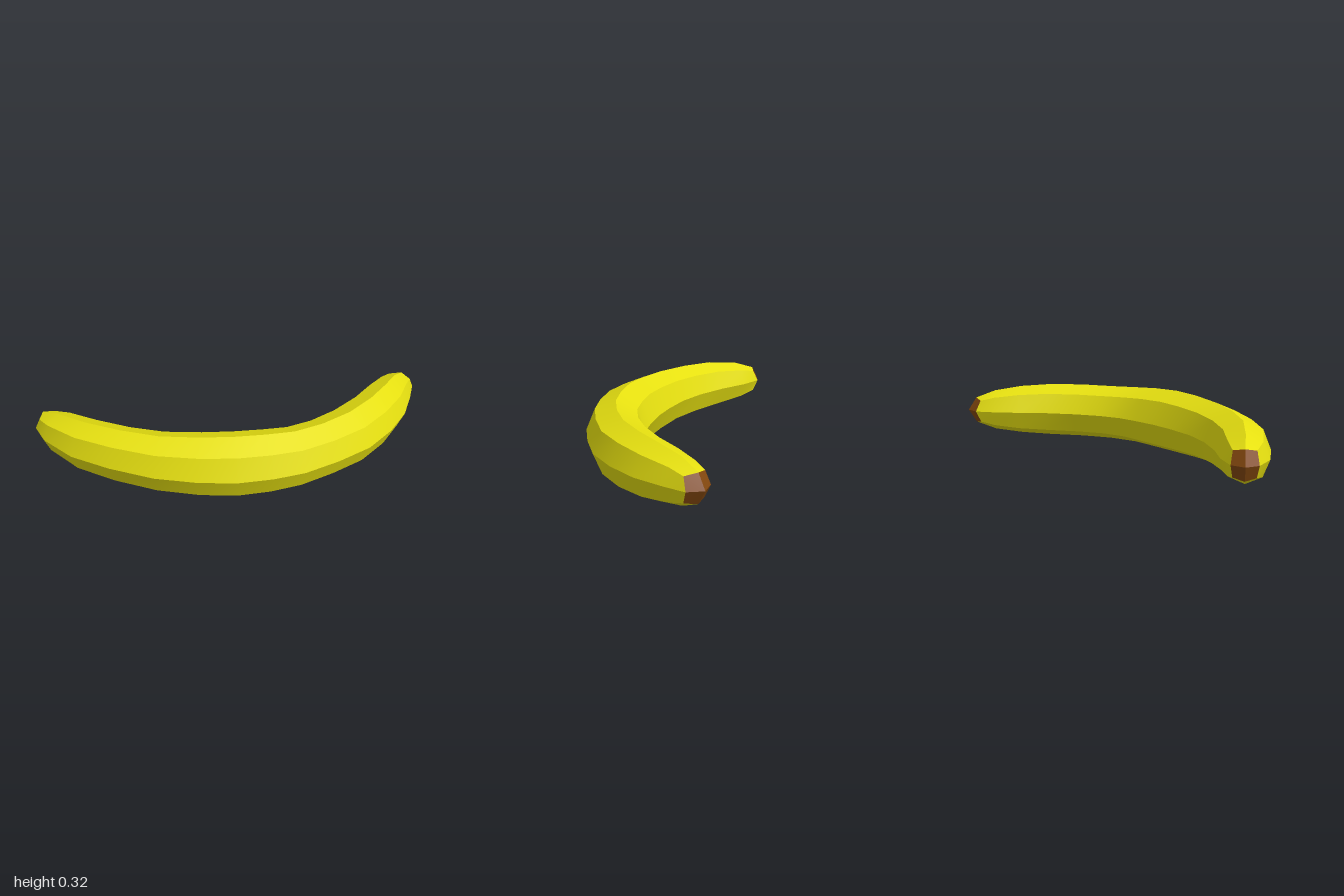
import * as THREE from 'three';

// One row per cross-section, right tip to left tip:
// outer edge x, z, inner edge x, z, vertical radius
const SECTIONS = [
  [-1.0, -0.29, -0.91, -0.365, 0.067],
  [-0.96, -0.17, -0.80, -0.30, 0.106],
  [-0.84, -0.01, -0.67, -0.19, 0.13],
  [-0.67, 0.12, -0.52, -0.09, 0.14],
  [-0.47, 0.24, -0.37, -0.02, 0.146],
  [-0.27, 0.315, -0.20, 0.025, 0.154],
  [-0.09, 0.355, -0.06, 0.05, 0.158],
  [0.08, 0.36, 0.08, 0.06, 0.154],
  [0.24, 0.345, 0.20, 0.06, 0.146],
  [0.42, 0.29, 0.32, 0.03, 0.141],
  [0.60, 0.215, 0.45, -0.03, 0.141],
  [0.75, 0.10, 0.59, -0.12, 0.139],
  [0.87, -0.03, 0.70, -0.22, 0.128],
  [0.95, -0.17, 0.80, -0.30, 0.106],
  [0.998, -0.27, 0.89, -0.355, 0.067],
];
const SIDES = 8;
const CENTER_Y = 0.159;
const LAST = SECTIONS.length - 1;

// Tips: outward direction and the centre point of each cap
const TIPS = {
  0: { dir: new THREE.Vector3(-0.67, 0, -0.74), apex: new THREE.Vector3(-0.98, CENTER_Y, -0.355) },
  [LAST]: { dir: new THREE.Vector3(0.67, 0, -0.74), apex: new THREE.Vector3(0.972, CENTER_Y, -0.345) },
};

// Eight points round a section; at the tips the corners are wider and set back
function makeRing([ox, oz, ix, iz, ry], index) {
  const mid = new THREE.Vector3((ox + ix) / 2, CENTER_Y, (oz + iz) / 2);
  const half = new THREE.Vector3((ox - ix) / 2, 0, (oz - iz) / 2);
  return Array.from({ length: SIDES }, (_, j) => {
    const a = (j / SIDES) * Math.PI * 2;
    const corner = TIPS[index] && j % 2 === 1;
    const k = corner ? 1.2 : 1;
    const p = mid.clone().addScaledVector(half, Math.cos(a) * k);
    p.y += Math.sin(a) * ry * k;
    if (corner) p.addScaledVector(TIPS[index].dir, -0.026);
    return p;
  });
}

function makeMesh(name, points, indices, material) {
  const geometry = new THREE.BufferGeometry().setFromPoints(points);
  geometry.setIndex(indices);
  geometry.computeVertexNormals();
  const mesh = new THREE.Mesh(geometry, material);
  mesh.name = name;
  return mesh;
}

export function createModel() {
  const model = new THREE.Group();
  model.name = 'banana';
  const peelMaterial = new THREE.MeshStandardMaterial({ color: 0xe6e010 });
  const tipMaterial = new THREE.MeshStandardMaterial({ color: 0x84480f });
  const rings = SECTIONS.map(makeRing);

  // Peel: one strip per side, smooth lengthwise with sharp ridges between strips
  const points = [];
  const indices = [];
  for (let j = 0; j < SIDES; j++) {
    const base = points.length;
    rings.forEach((ring) => points.push(ring[j], ring[(j + 1) % SIDES]));
    for (let i = 0; i < LAST; i++) {
      const a = base + i * 2;
      indices.push(a, a + 2, a + 3, a, a + 3, a + 1);
    }
  }
  model.add(makeMesh('peel', points, indices, peelMaterial));

  // Tips: four facets meeting at the centre of each cap
  for (const [index, name] of [[0, 'rightTip'], [LAST, 'leftTip']]) {
    const ring = rings[index];
    const capPoints = [];
    const capIndices = [];
    for (let j = 0; j < SIDES; j += 2) {
      const b = capPoints.length;
      capPoints.push(TIPS[index].apex, ring[j], ring[j + 1], ring[(j + 2) % SIDES]);
      if (index === 0) capIndices.push(b, b + 1, b + 2, b, b + 2, b + 3);
      else capIndices.push(b, b + 2, b + 1, b, b + 3, b + 2);
    }
    model.add(makeMesh(name, capPoints, capIndices, tipMaterial));
  }
  return model;
}
